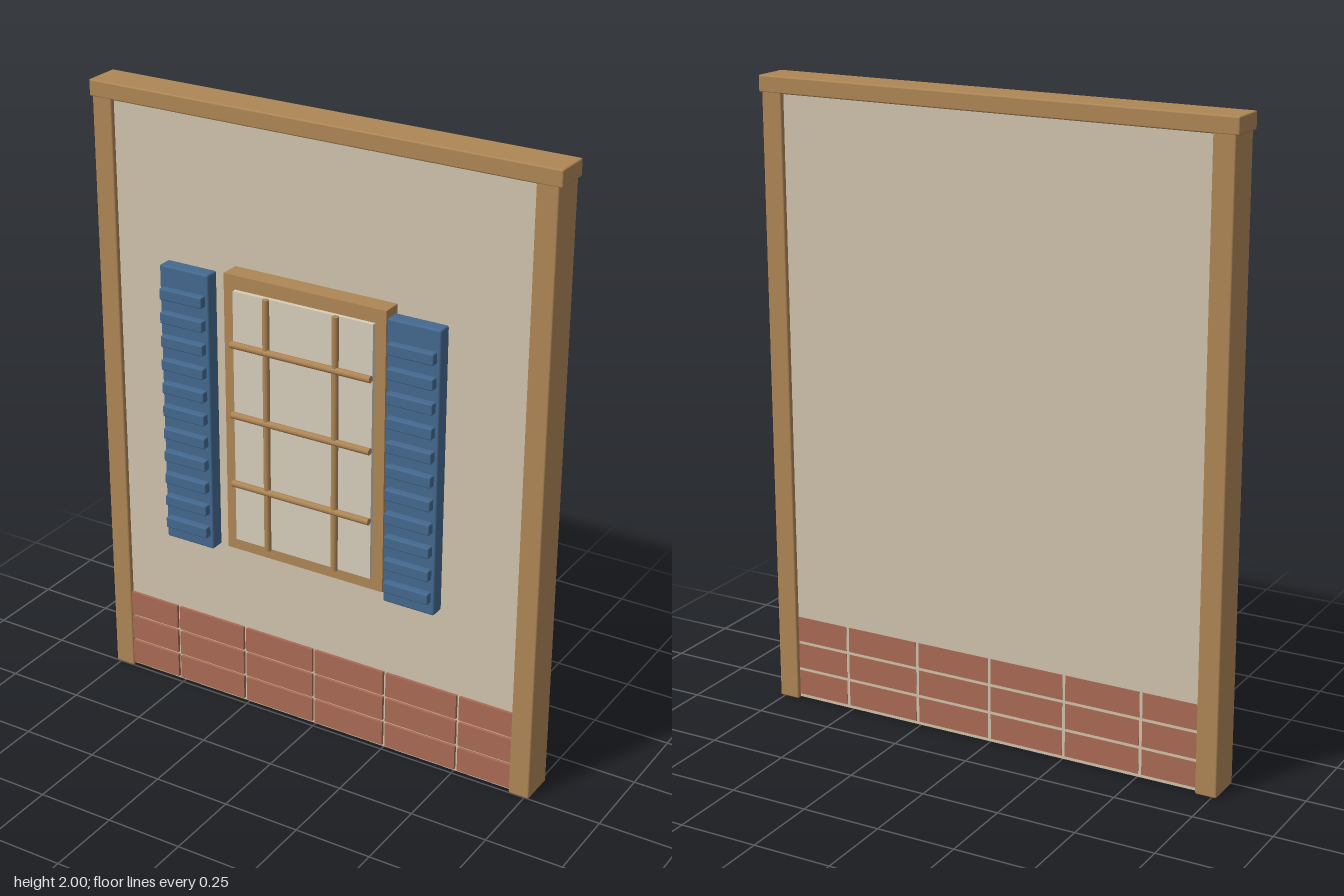
import * as THREE from 'three';
import { RoundedBoxGeometry } from 'three/addons/geometries/RoundedBoxGeometry.js';

const paint = (name, color) => {
  const m = new THREE.MeshStandardMaterial({ color });
  m.name = name;
  return m;
};

export function createModel() {
  const model = new THREE.Group();
  model.name = 'wallWithWindow';
  const wood = paint('wood', 0xae8656);
  const plaster = paint('plaster', 0xcec2ac);
  const brick = paint('brick', 0xa96a54);
  const blue = paint('shutterBlue', 0x44698f);
  const glass = paint('pane', 0xd6cdbb);

  // Box given by its min and max corners, optionally with softened edges
  function box(name, mat, [x0, x1], [y0, y1], [z0, z1], r = 0, parent = model) {
    const size = [x1 - x0, y1 - y0, z1 - z0];
    const geo = r ? new RoundedBoxGeometry(...size, 2, r) : new THREE.BoxGeometry(...size);
    const mesh = new THREE.Mesh(geo, mat);
    mesh.name = name;
    mesh.position.set((x0 + x1) / 2, (y0 + y1) / 2, (z0 + z1) / 2);
    parent.add(mesh);
    return mesh;
  }
  function group(name) {
    const g = new THREE.Group();
    g.name = name;
    model.add(g);
    return g;
  }

  // Wall panel with timber posts and top beam
  box('wallPanel', plaster, [-0.71, 0.71], [0.004, 1.96], [-0.102, -0.012]);
  box('rightPost', wood, [-0.765, -0.697], [0, 1.955], [-0.116, 0.002], 0.005);
  box('leftPost', wood, [0.697, 0.765], [0, 1.955], [-0.116, 0.002], 0.005);
  box('topBeam', wood, [-0.775, 0.775], [1.948, 2], [-0.117, 0.003], 0.005);

  // Brick base: three rows stacked in line, going through the wall
  const bricks = group('brickBase');
  for (let row = 0; row < 3; row++) {
    const y = 0.055 + row * 0.0915;
    for (let col = -3; col < 3; col++) {
      const x0 = Math.max(col * 0.256 + 0.005, -0.72);
      const x1 = Math.min((col + 1) * 0.256 - 0.005, 0.72);
      box('brick', brick, [x0, x1], [y - 0.041, y + 0.041], [-0.103, -0.002], 0, bricks);
    }
  }

  // Window: frame with a pane and round glazing bars
  const shape = new THREE.Shape();
  shape.moveTo(-0.275, 0.597).lineTo(0.275, 0.597).lineTo(0.275, 1.507).lineTo(-0.275, 1.507).closePath();
  const hole = new THREE.Path();
  hole.moveTo(-0.24, 0.635).lineTo(-0.24, 1.463).lineTo(0.24, 1.463).lineTo(0.24, 0.635).closePath();
  shape.holes.push(hole);
  const windowGroup = group('window');
  const frame = new THREE.Mesh(
    new THREE.ExtrudeGeometry(shape, { depth: 0.066, bevelEnabled: false }), wood);
  frame.name = 'windowFrame';
  frame.position.z = -0.014;
  windowGroup.add(frame);
  box('windowPane', glass, [-0.238, 0.238], [0.637, 1.461], [0.045, 0.062], 0, windowGroup);

  function bar(name, length, x, y, z, horizontal) {
    const mesh = new THREE.Mesh(new THREE.CylinderGeometry(0.011, 0.011, length, 10), wood);
    mesh.name = name;
    mesh.position.set(x, y, z);
    if (horizontal) mesh.rotation.z = Math.PI / 2;
    windowGroup.add(mesh);
  }
  for (const x of [-0.118, 0.118]) bar('verticalBar', 0.826, x, 1.049, 0.07, false);
  for (const y of [0.835, 1.065, 1.295]) bar('horizontalBar', 0.478, 0, y, 0.073, true);

  // Pair of louvred shutters
  for (const side of [-1, 1]) {
    const shutter = group(side > 0 ? 'leftShutter' : 'rightShutter');
    const x = side * 0.388;
    box('shutterPanel', blue, [x - 0.086, x + 0.086], [0.597, 1.507], [0.047, 0.095], 0.006, shutter);
    for (let i = 0; i < 11; i++) {
      const y = 0.658 + i * 0.0765;
      box('slat', blue, [x - 0.075, x + 0.075], [y - 0.0175, y + 0.0175], [0.085, 0.117], 0.004, shutter);
    }
  }
  return model;
}
